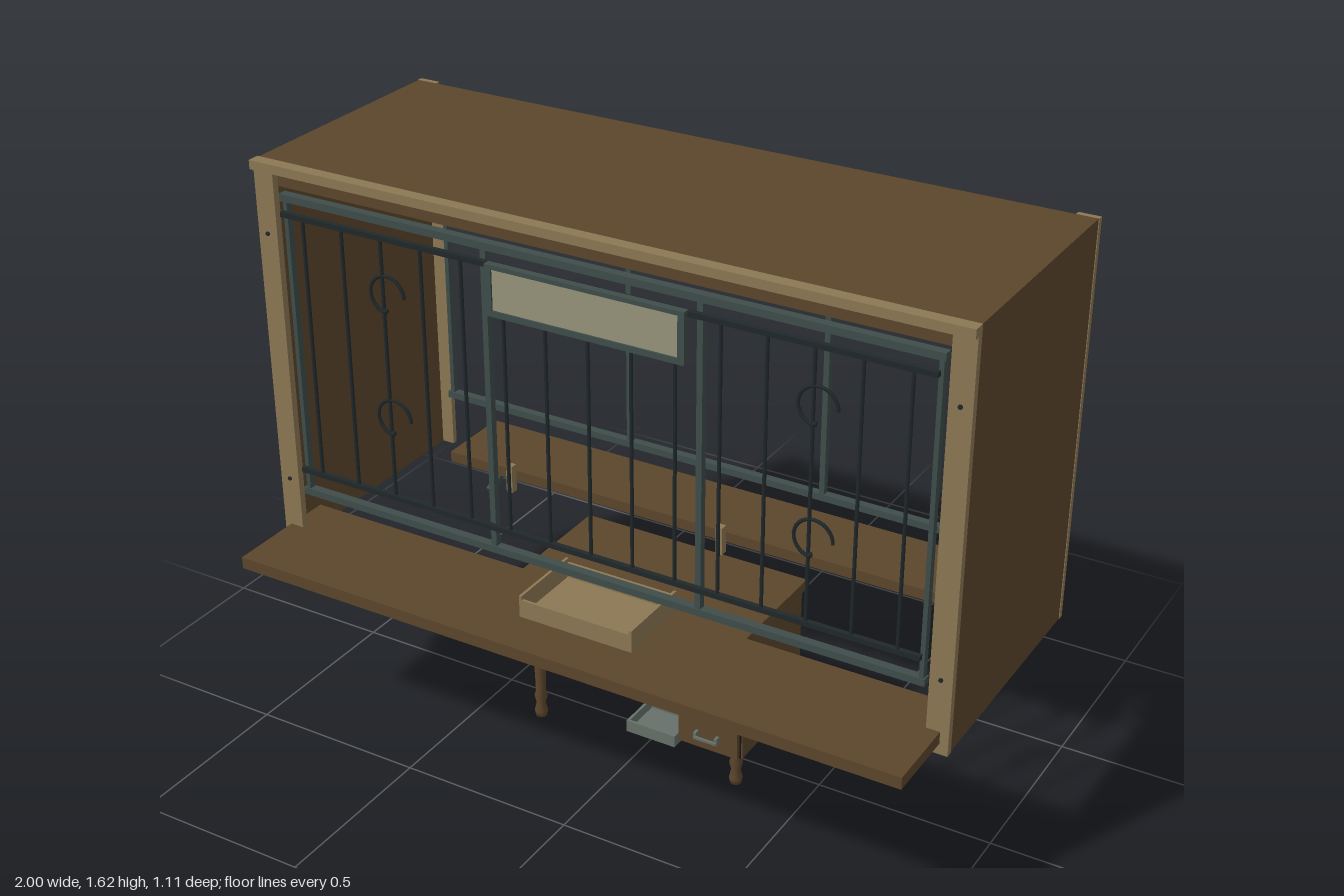
import * as THREE from 'three';

const mat = (name, color) => {
  const m = new THREE.MeshStandardMaterial({ color });
  m.name = name;
  return m;
};

export function createModel() {
  const root = new THREE.Group();
  root.name = 'ticketBooth';
  const wood = mat('brownWood', 0x5c462c);
  const pale = mat('paleWood', 0x8b7753);
  const slate = mat('slateMetal', 0x3f4d4b);
  const iron = mat('darkIron', 0x20282a);
  const sage = mat('signFace', 0x96947a);
  const grey = mat('greyMetal', 0x667069);
  const black = mat('blackCable', 0x141414);

  const add = (geo, m, name, parent = root) => {
    const mesh = new THREE.Mesh(geo, m);
    mesh.name = name;
    parent.add(mesh);
    return mesh;
  };
  // box given by its limits on each axis
  const box = (name, m, x0, x1, y0, y1, z0, z1, parent = root) => {
    const b = add(new THREE.BoxGeometry(x1 - x0, y1 - y0, z1 - z0), m, name, parent);
    b.position.set((x0 + x1) / 2, (y0 + y1) / 2, (z0 + z1) / 2);
    return b;
  };
  const group = (name) => {
    const g = new THREE.Group();
    g.name = name;
    root.add(g);
    return g;
  };
  // open tray: floor plus four walls
  const tray = (name, m, x0, x1, y0, y1, z0, z1, t, frontY = y1) => {
    const g = group(name);
    box('trayFloor', m, x0, x1, y0, y0 + t, z0, z1, g);
    box('trayLeft', m, x1 - t, x1, y0 + t, y1, z0, z1, g);
    box('trayRight', m, x0, x0 + t, y0 + t, y1, z0, z1, g);
    box('trayBack', m, x0 + t, x1 - t, y0 + t, frontY, z0, z0 + t, g);
    box('trayFront', m, x0 + t, x1 - t, y0 + t, frontY, z1 - t, z1, g);
  };

  // booth shell
  const shell = group('shell');
  box('roof', wood, -0.998, 0.998, 1.55, 1.618, -0.37, 0.325, shell);
  box('roofTrim', pale, -1, 1, 1.595, 1.62, 0.325, 0.36, shell);
  for (const s of [-1, 1]) {
    const w = box('sideWall', wood, -0.01, 0.01, 0.49, 1.55, -0.37, 0.325, shell);
    w.position.x = s * 0.988;
    const f = box('frontPost', pale, -0.03, 0.03, 0.49, 1.595, 0.325, 0.345, shell);
    f.position.x = s * 0.97;
    const b = box('backPost', pale, -0.03, 0.03, 0.49, 1.618, -0.386, -0.37, shell);
    b.position.x = s * 0.97;
    for (const y of [0.7, 1.42]) {
      const bolt = add(new THREE.CylinderGeometry(0.006, 0.006, 0.006, 8), iron, 'bolt', shell);
      bolt.rotation.x = Math.PI / 2;
      bolt.position.set(s * 0.97, y, 0.346);
    }
  }

  // window frames at front and back
  for (const [name, z] of [['frontFrame', 0.325], ['backFrame', -0.355]]) {
    const g = group(name);
    for (const y of [0.67, 1.525])
      box('rail', slate, -0.93, 0.925, y - 0.01, y + 0.01, z - 0.012, z + 0.012, g);
    for (const x of [-0.915, -0.305, 0.305, 0.915]) {
      const h = Math.abs(x) < 0.5 ? 0.008 : 0.006;
      box('mullion', slate, x - h, x + h, 0.68, 1.515, z - 0.01, z + 0.01, g);
    }
  }

  // iron grille with curled ornaments
  const grille = group('grille');
  for (const y of [0.743, 1.485])
    box('grilleRail', iron, -0.92, 0.915, y - 0.007, y + 0.007, 0.337, 0.351, grille);
  for (let i = -7; i <= 7; i++) {
    const bar = add(new THREE.CylinderGeometry(0.005, 0.005, 0.74, 8), iron, 'bar', grille);
    bar.position.set(i * 0.122, 1.114, 0.344);
  }
  for (const x of [-0.597, 0.622])
    for (const y of [0.98, 1.33]) {
      const curl = add(new THREE.TorusGeometry(0.052, 0.005, 6, 20, Math.PI * 1.42), iron, 'curl', grille);
      curl.position.set(x, y, 0.344);
      const tip = add(new THREE.SphereGeometry(0.008, 8, 6), iron, 'curlTip', grille);
      tip.position.set(x - 0.008, y - 0.046, 0.344);
    }
  for (const x of [-0.26, 0.355])
    box('windowHandle', pale, x - 0.009, x + 0.009, 0.845, 0.92, 0.3, 0.32);

  // sign board
  const sign = group('signBoard');
  box('signBack', slate, -0.28, 0.28, 1.357, 1.495, 0.346, 0.358, sign);
  box('signPanel', sage, -0.262, 0.262, 1.373, 1.483, 0.358, 0.361, sign);
  box('signRimTop', slate, -0.28, 0.28, 1.483, 1.495, 0.358, 0.366, sign);
  box('signRimBottom', slate, -0.28, 0.28, 1.357, 1.373, 0.358, 0.366, sign);
  for (const s of [-1, 1])
    box('signRimSide', slate, s * 0.271 - 0.009, s * 0.271 + 0.009, 1.373, 1.483, 0.358, 0.366, sign);

  // counters with slanted brackets
  box('frontCounter', wood, -0.98, 0.977, 0.52, 0.554, 0.22, 0.557);
  box('backCounter', wood, -0.915, 0.912, 0.459, 0.491, -0.557, -0.32);
  const bracket = (name, x, y0, z0, y1, z1) => {
    const b = add(new THREE.BoxGeometry(0.02, 0.02, Math.hypot(y1 - y0, z1 - z0)), slate, name);
    b.position.set(x, (y0 + y1) / 2, (z0 + z1) / 2);
    b.rotation.x = -Math.atan2(y1 - y0, z1 - z0);
  };
  for (const x of [-0.803, 0.8]) {
    bracket('frontBracket', x, 0.47, 0.32, 0.515, 0.507);
    bracket('backBracket', x, 0.455, -0.51, 0.372, -0.355);
  }
  tray('counterTray', pale, -0.17, 0.167, 0.554, 0.617, 0.2, 0.425, 0.008, 0.605);

  // desk with turned legs
  const desk = group('desk');
  box('deskTop', wood, -0.35, 0.342, 0.467, 0.496, -0.2, 0.167, desk);
  const legProfile = [
    [0, 0.018], [0.016, 0.018], [0.019, 0.035], [0.013, 0.06], [0.019, 0.085], [0.014, 0.1],
    [0.017, 0.2], [0.021, 0.3], [0.016, 0.315], [0.021, 0.33],
  ].map(([r, y]) => new THREE.Vector2(r, y));
  for (const x of [-0.315, 0.31])
    for (const z of [-0.162, 0.124]) {
      add(new THREE.LatheGeometry(legProfile, 12), wood, 'leg', desk).position.set(x, 0, z);
      box('legBlock', wood, x - 0.02, x + 0.02, 0.33, 0.467, z - 0.02, z + 0.02, desk);
    }
  box('modestyPanel', slate, -0.31, 0.142, 0.235, 0.432, -0.172, -0.162, desk);
  box('pedestal', wood, 0.142, 0.337, 0.114, 0.467, -0.183, 0.14, desk);

  // drawers with pulls
  for (const [y0, y1] of [[0.118, 0.213], [0.228, 0.325], [0.34, 0.445]]) {
    const y = (y0 + y1) / 2;
    box('drawerGap', black, 0.146, 0.333, y0 - 0.005, y1 + 0.005, 0.14, 0.142, desk);
    box('drawerFront', wood, 0.15, 0.329, y0, y1, 0.142, 0.156, desk);
    box('pull', grey, 0.205, 0.274, y - 0.013, y - 0.006, 0.168, 0.175, desk);
    for (const x of [0.208, 0.271])
      box('pullMount', grey, x - 0.004, x + 0.004, y - 0.013, y + 0.006, 0.156, 0.172, desk);
  }
  box('lockPlate', grey, 0.23, 0.25, 0.395, 0.418, 0.156, 0.159, desk);

  // cable hanging behind the pedestal
  const path = new THREE.CatmullRomCurve3([
    [0.2, 0.42, -0.187], [0.22, 0.35, -0.189], [0.25, 0.25, -0.189], [0.255, 0.12, -0.188],
    [0.222, 0.045, -0.187], [0.13, 0.022, -0.187],
  ].map((p) => new THREE.Vector3(...p)), false, 'catmullrom', 0.2);
  add(new THREE.TubeGeometry(path, 30, 0.004, 6), black, 'cable');

  // floor tray
  tray('floorTray', grey, -0.08, 0.076, 0, 0.036, -0.083, 0.05, 0.008);

  return root;
}
